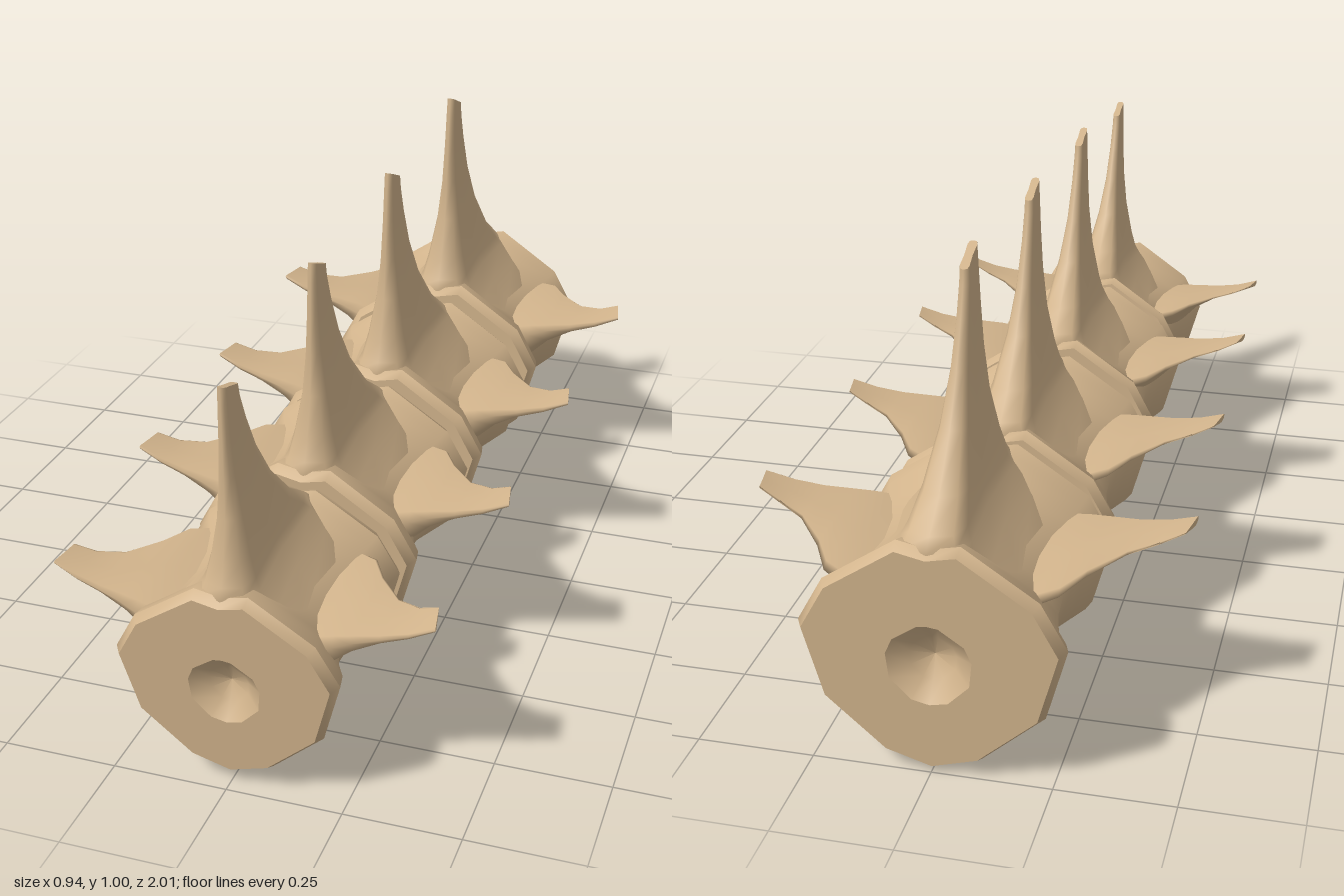
import * as THREE from 'three';

const V = (x, y, z) => new THREE.Vector3(x, y, z);

// Skin a list of rings (counter-clockwise about the direction of travel); caps are flat fans
function loft(rings, { flip = false, cap = false } = {}) {
  const pos = [], index = [], n = rings[0].length;
  const add = (p) => pos.push(p.x, p.y, p.z);
  const tri = (a, b, c) => (flip ? index.push(a, c, b) : index.push(a, b, c));
  rings.forEach((r) => r.forEach(add));
  for (let i = 0; i < rings.length - 1; i++) {
    for (let j = 0; j < n; j++) {
      const k = (j + 1) % n, a = i * n + j, b = i * n + k, c = a + n, d = b + n;
      tri(a, b, d);
      tri(a, d, c);
    }
  }
  if (cap) {
    const last = rings[rings.length - 1], start = pos.length / 3;
    last.forEach(add);
    add(last.reduce((s, p) => s.add(p), V(0, 0, 0)).divideScalar(n));
    for (let j = 0; j < n; j++) tri(start + j, start + (j + 1) % n, start + n);
  }
  const g = new THREE.BufferGeometry();
  g.setAttribute('position', new THREE.Float32BufferAttribute(pos, 3));
  g.setIndex(index);
  g.computeVertexNormals();
  return g;
}

// Outline of the vertebral body, right half from bottom to top, then mirrored
const half = [[0, -0.248], [0.1, -0.218], [0.23, -0.103], [0.275, 0.057], [0.22, 0.157], [0.065, 0.262], [0, 0.248]];
const outline = [...half, ...half.slice(1, -1).reverse().map(([x, y]) => [-x, y])];
const bodyRing = (z, s) => outline.map(([x, y]) => V(x * s, y * s, z));
const roundRing = (z, r) => outline.map(([x, y]) => {
  const l = Math.hypot(x, y);
  return V((x / l) * r, (y / l) * r, z);
});

// Body pieces, back to front; separate pieces keep the rim edges sharp
function bodyParts() {
  const waist = [[-0.225, 1], [-0.195, 0.96], [-0.15, 0.87], [-0.08, 0.81], [0, 0.785],
    [0.08, 0.815], [0.14, 0.88], [0.185, 0.97], [0.225, 1]];
  return {
    backDimple: loft([roundRing(-0.2, 0), roundRing(-0.218, 0.05), roundRing(-0.25, 0.09)]),
    backFace: loft([roundRing(-0.25, 0.09), bodyRing(-0.25, 0.95)]),
    backRim: loft([bodyRing(-0.25, 0.95), bodyRing(-0.225, 1)]),
    waist: loft(waist.map(([z, s]) => bodyRing(z, s))),
    frontRim: loft([bodyRing(0.225, 1), bodyRing(0.25, 0.94)]),
    frontFace: loft([bodyRing(0.25, 0.94), roundRing(0.25, 0.09)]),
    frontDimple: loft([roundRing(0.25, 0.09), roundRing(0.218, 0.05), roundRing(0.2, 0)]),
  };
}

// Upright spine: horizontal sections [y, front z, back z, half width, drop towards the back]
function spine() {
  const sections = [
    [0.15, 0.2, -0.2, 0.16, 0],
    [0.2, 0.225, -0.225, 0.11, 0],
    [0.245, 0.235, -0.24, 0.072, 0],
    [0.27, 0.22, -0.215, 0.06, 0],
    [0.32, 0.2, -0.145, 0.047, 0],
    [0.42, 0.172, -0.06, 0.029, 0],
    [0.52, 0.162, -0.003, 0.018, 0],
    [0.62, 0.155, 0.036, 0.013, 0.005],
    [0.7, 0.149, 0.058, 0.011, 0.02],
    [0.745, 0.145, 0.063, 0.01, 0.032],
  ];
  const side = [[0, 0], [0.75, 0.03], [1, 0.14], [0.86, 0.5], [1, 0.86], [0.75, 0.97], [0, 1]];
  const ring = [...side, ...side.slice(1, -1).reverse().map(([w, t]) => [-w, t])];
  return loft(sections.map(([y, zf, zb, w, drop]) =>
    ring.map(([k, t]) => V(k * w, y - drop * t, zf + (zb - zf) * t))), { cap: true });
}

// Side wing: upright sections [x, front z, back z, top y, bottom y, shift of x at the back]
function wing(dir) {
  const sections = [
    [0.15, 0.2, -0.2, 0.13, -0.03, 0],
    [0.2, 0.192, -0.185, 0.141, 0.015, 0],
    [0.24, 0.184, -0.16, 0.147, 0.05, 0],
    [0.28, 0.172, -0.085, 0.151, 0.09, 0],
    [0.345, 0.155, 0, 0.157, 0.128, 0],
    [0.41, 0.143, 0.033, 0.169, 0.15, -0.005],
    [0.47, 0.13, 0.048, 0.19, 0.175, -0.015],
  ];
  // Section points: [distance from front, height from bottom], running over the top to the front and back below
  const ring = [[1, 0.88], [0.95, 1], [0.5, 0.97], [0.06, 1], [0, 0.8], [0.06, 0.3], [0.22, 0], [0.45, 0.2], [0.75, 0.6]];
  return loft(sections.map(([x, zf, zb, top, bot, shift]) =>
    ring.map(([t, h]) => V(dir * (x + shift * t), bot + (top - bot) * h, zf + (zb - zf) * t))),
  { flip: dir < 0, cap: true });
}

export function createModel() {
  const bone = new THREE.MeshStandardMaterial({ color: 0xd2b48c });
  bone.name = 'bone';

  const parts = { ...bodyParts(), spine: spine(), leftWing: wing(1), rightWing: wing(-1) };

  const model = new THREE.Group();
  model.name = 'vertebrae';

  // Four vertebrae growing towards the back: [centre y, centre z, scale, tilt]
  const placements = [
    [0.25, 0.772, 0.87, 0.075],
    [0.26, 0.297, 0.925, 0.025],
    [0.255, -0.22, 0.96, 0],
    [0.252, -0.75, 1, -0.015],
  ];
  placements.forEach(([y, z, s, tilt], i) => {
    const vertebra = new THREE.Group();
    vertebra.name = `vertebra${i + 1}`;
    for (const [name, geometry] of Object.entries(parts)) {
      const mesh = new THREE.Mesh(geometry, bone);
      mesh.name = name;
      vertebra.add(mesh);
    }
    vertebra.position.set(0, y, z);
    vertebra.scale.setScalar(s);
    vertebra.rotation.x = tilt;
    model.add(vertebra);
  });
  return model;
}
